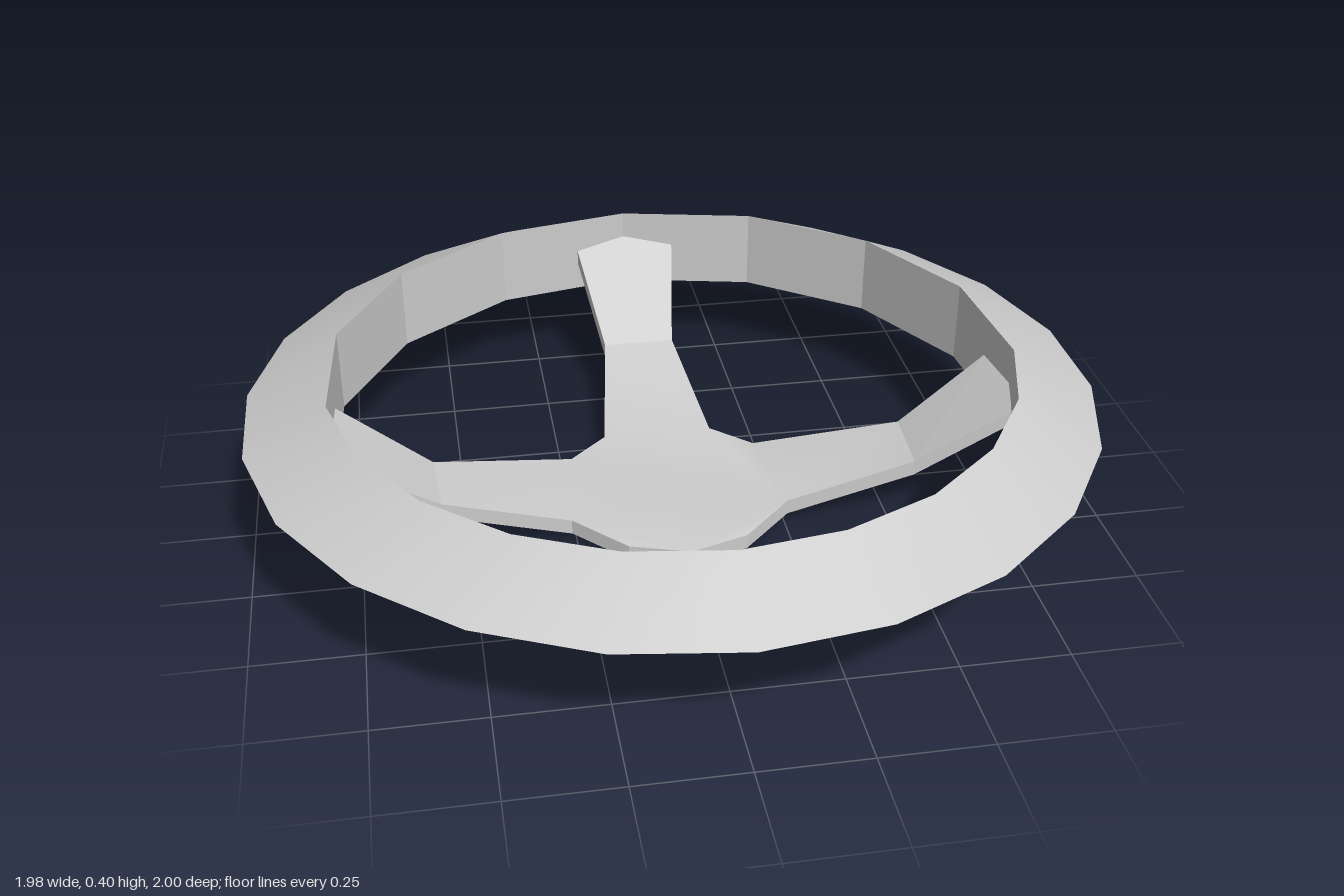
import * as THREE from 'three';
import { mergeVertices } from 'three/addons/utils/BufferGeometryUtils.js';

const grey = new THREE.MeshStandardMaterial({ color: 0xcccccc });
grey.name = 'plainGrey';

// Turns a list of triangle corners into a geometry, flat or smooth
function surface(corners, smooth) {
  let geo = new THREE.BufferGeometry();
  geo.setAttribute('position', new THREE.Float32BufferAttribute(corners.flat(), 3));
  if (smooth) geo = mergeVertices(geo, 1e-4);
  geo.computeVertexNormals();
  return geo;
}

function part(name, corners, smooth = false) {
  const mesh = new THREE.Mesh(surface(corners, smooth), grey);
  mesh.name = name;
  return mesh;
}

const quad = (a, b, c, d) => [a, b, c, a, c, d];
const fan = (p) => p.slice(2).flatMap((q, i) => [p[0], p[i + 1], q]);

// Rim: wedge section, 22 sides outside and 18 uneven sides inside
function createRim() {
  const step = (Math.PI * 2) / 22;
  const outer = Array.from({ length: 23 }, (_, i) => i * step);
  const half = [0, 1.5, 3, 4.5, 6, 7, 8, 9, 10, 11];
  const inner = [...half, ...half.slice(0, -1).reverse().map((s) => 22 - s)].map((s) => s * step);
  const at = (r, t, y) => [r * Math.sin(t), y, -r * Math.cos(t)];

  const top = [], bottom = [], wall = [];
  const tri = (list, y, flip) => {
    let i = 0, j = 0;
    while (i < outer.length - 1 || j < inner.length - 1) {
      const o = at(1, outer[i], 0.3), n = at(0.805, inner[j], y);
      const goOuter = j === inner.length - 1 ||
        (i < outer.length - 1 && outer[i] + outer[i + 1] <= inner[j] + inner[j + 1]);
      const next = goOuter ? at(1, outer[++i], 0.3) : at(0.805, inner[++j], y);
      list.push(...(flip ? [o, next, n] : [o, n, next]));
    }
  };
  tri(top, 0.4, false);
  tri(bottom, 0.2, true);
  for (let j = 0; j < inner.length - 1; j++) {
    const p = (k, y) => at(0.805, inner[k], y);
    wall.push(...quad(p(j, 0.2), p(j + 1, 0.2), p(j + 1, 0.4), p(j, 0.4)));
  }
  const rim = new THREE.Group();
  rim.name = 'rim';
  rim.add(part('rimTop', top, true), part('rimUnderside', bottom, true), part('rimInnerWall', wall));
  return rim;
}

// Hub and three spokes: one bent plate, outlined on the +x half and mirrored
function createSpokes() {
  const thickness = 0.037;
  const right = [
    [0, 0, 0.29], [0.14, 0, 0.245], [0.26, 0.015, 0.14],             // hub front
    [0.56, 0.11, 0.165], [0.77, 0.255, 0.21], [0.795, 0.272, 0.11],  // side spoke
    [0.785, 0.265, -0.045], [0.57, 0.11, -0.02],
    [0.23, 0.015, -0.13], [0.135, 0.015, -0.22],                     // hub rear
    [0.09, 0.11, -0.53], [0.13, 0.275, -0.78], [0, 0.295, -0.805],   // rear spoke
  ];
  // A negative index means the mirrored point
  const point = (i) => (i >= 0 ? right[i] : [-right[-i][0], right[-i][1], right[-i][2]]);
  const mirror = (panel) => panel.map((i) => -i).reverse();
  const arm = [2, 3, 7, 8], end = [3, 4, 5, 6, 7];
  const hubPanels = [[0, 1, 2, -2, -1], [2, 8, 9, -9, -8, -2], arm, mirror(arm), [9, 10, -10, -9]];
  const endPanels = [end, mirror(end), [10, 11, 12, -11, -10]];

  const raise = (p) => [p[0], p[1] + thickness, p[2]];
  const tops = (panels) => panels.flatMap((p) => fan(p.map((i) => raise(point(i)))));
  const bottoms = (panels) => panels.flatMap((p) => fan(p.map(point).reverse()));

  // Side walls follow every edge that belongs to one panel only
  const edges = [...hubPanels, ...endPanels].flatMap((p) => p.map((a, k) => [a, p[(k + 1) % p.length]]));
  const walls = edges
    .filter(([a, b]) => !edges.some(([c, d]) => c === b && d === a))
    .flatMap(([a, b]) => quad(point(a), point(b), raise(point(b)), raise(point(a))));

  const spokes = new THREE.Group();
  spokes.name = 'hubAndSpokes';
  spokes.add(
    part('hubTop', tops(hubPanels), true),
    part('hubUnderside', bottoms(hubPanels), true),
    part('spokeEndTops', tops(endPanels)),
    part('spokeEndUndersides', bottoms(endPanels)),
    part('spokeEdges', walls),
  );
  return spokes;
}

export function createModel() {
  const model = new THREE.Group();
  model.name = 'steeringWheel';
  model.add(createRim(), createSpokes());
  return model;
}
